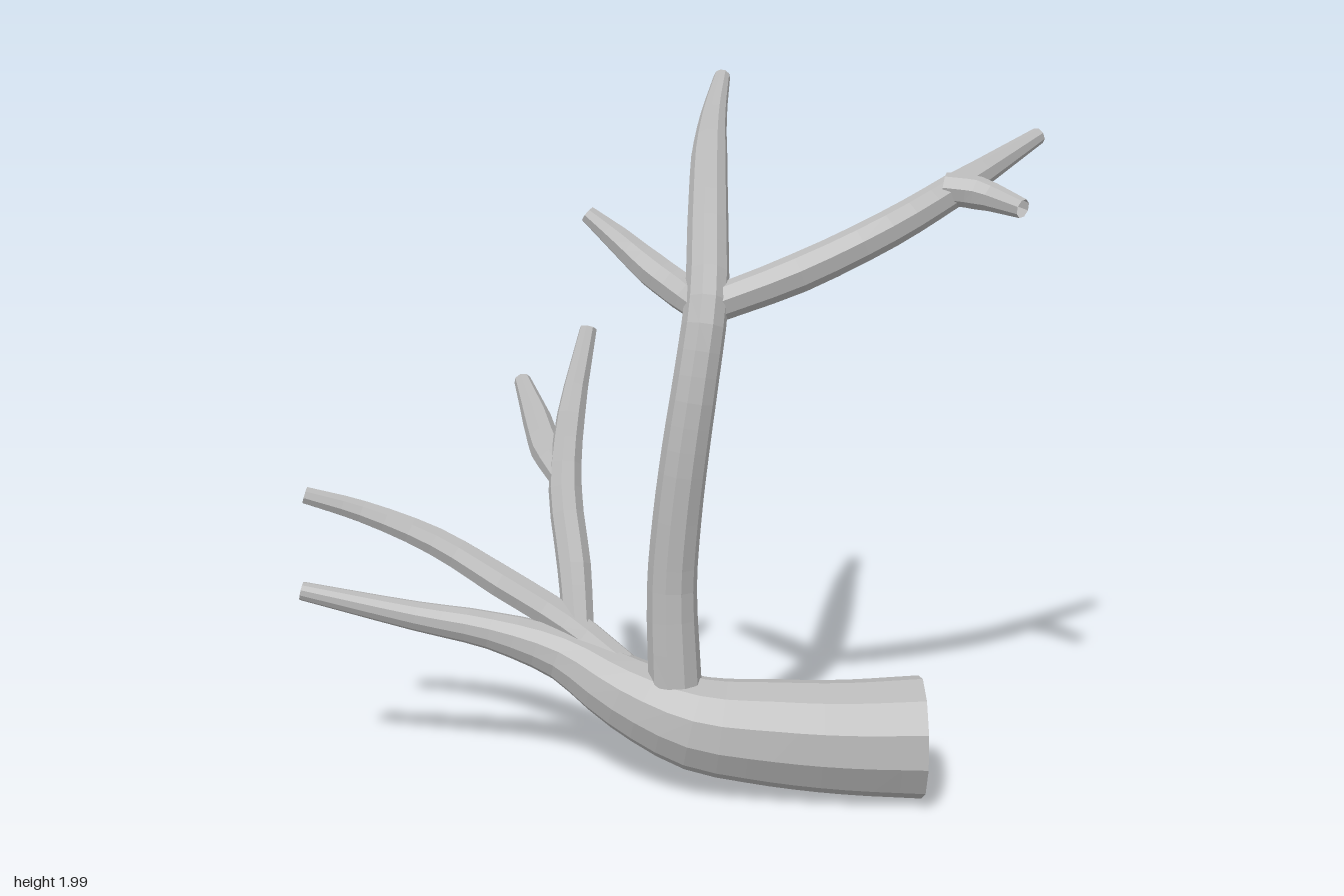
import * as THREE from 'three';

const bark = new THREE.MeshStandardMaterial({ color: 0xb8b8b8, side: THREE.DoubleSide, flatShading: true });
bark.name = 'pale grey bark';

// Open tapered tube through [x, y, z, radius] stations, with a twist-free frame.
function limb(name, stations, sides = 8, stepsPerSpan = 3) {
  const curve = new THREE.CatmullRomCurve3(stations.map(([x, y, z]) => new THREE.Vector3(x, y, z)));
  const spans = stations.length - 1;
  const rings = spans * stepsPerSpan;
  const positions = [], index = [];
  const normal = new THREE.Vector3(0.1, 0.8, 0.6);

  for (let i = 0; i <= rings; i++) {
    const t = i / rings;
    const centre = curve.getPoint(t);
    const tangent = curve.getTangent(t);
    normal.addScaledVector(tangent, -normal.dot(tangent)).normalize();
    const binormal = new THREE.Vector3().crossVectors(tangent, normal);
    const k = Math.min(Math.floor(t * spans), spans - 1);
    const radius = THREE.MathUtils.lerp(stations[k][3], stations[k + 1][3], t * spans - k);

    for (let j = 0; j < sides; j++) {
      const a = (j / sides) * Math.PI * 2;
      const p = centre.clone()
        .addScaledVector(normal, Math.cos(a) * radius)
        .addScaledVector(binormal, Math.sin(a) * radius);
      positions.push(p.x, p.y, p.z);
      if (i < rings) {
        const here = i * sides + j, next = i * sides + (j + 1) % sides;
        index.push(here, next, here + sides, next, next + sides, here + sides);
      }
    }
  }

  const geometry = new THREE.BufferGeometry();
  geometry.setAttribute('position', new THREE.Float32BufferAttribute(positions, 3));
  geometry.setIndex(index);
  geometry.computeVertexNormals();
  const mesh = new THREE.Mesh(geometry, bark);
  mesh.name = name;
  return mesh;
}

export function createModel() {
  const branch = new THREE.Group();
  branch.name = 'deadBranch';

  branch.add(
    // Thick lying trunk, tapering to a long tip
    limb('trunk', [
      [0.77, 0.178, -0.05, 0.174], [0.58, 0.178, 0.05, 0.162], [0.4, 0.188, 0.135, 0.152],
      [0.2, 0.212, 0.225, 0.135], [0, 0.28, 0.265, 0.108], [-0.2, 0.37, 0.28, 0.077],
      [-0.4, 0.43, 0.345, 0.055], [-0.6, 0.47, 0.435, 0.043], [-0.89, 0.545, 0.585, 0.027],
    ], 11),

    // Second low branch beside the trunk tip
    limb('lowBranch', [
      [-0.02, 0.35, 0.245, 0.045], [-0.2, 0.455, 0.25, 0.05], [-0.4, 0.56, 0.285, 0.05],
      [-0.6, 0.665, 0.325, 0.044], [-0.8, 0.75, 0.405, 0.034], [-0.94, 0.802, 0.49, 0.026],
    ]),

    // Tall upright, sweeping backwards at the top
    limb('mainUpright', [
      [0.145, 0.33, 0.248, 0.075], [0.13, 0.6, 0.238, 0.07], [0.145, 0.8, 0.237, 0.068],
      [0.168, 1.0, 0.23, 0.066], [0.188, 1.2, 0.205, 0.063], [0.188, 1.4, 0.145, 0.061],
      [0.12, 1.59, 0, 0.058], [0.025, 1.76, -0.2, 0.053], [-0.06, 1.87, -0.4, 0.04],
      [-0.13, 1.98, -0.6, 0.025],
    ], 10),

    // Forks near the top of the upright
    limb('upperLeftBranch', [
      [0.18, 1.38, 0.14, 0.05], [0.4, 1.475, 0.005, 0.055], [0.6, 1.59, -0.15, 0.052],
      [0.73, 1.69, -0.31, 0.047], [0.885, 1.83, -0.575, 0.024],
    ]),
    limb('upperLeftTwig', [
      [0.71, 1.695, -0.285, 0.045], [0.8, 1.685, -0.305, 0.046], [0.945, 1.652, -0.258, 0.027],
    ]),
    limb('upperRightBranch', [
      [0.19, 1.38, 0.16, 0.045], [0.1, 1.42, 0.125, 0.052], [0, 1.475, 0.112, 0.05],
      [-0.1, 1.55, 0.117, 0.039], [-0.19, 1.62, 0.133, 0.025],
    ]),

    // Smaller upright with its side twig
    limb('smallUpright', [
      [-0.165, 0.43, 0.25, 0.045], [-0.225, 0.6, 0.17, 0.05], [-0.308, 0.8, 0.075, 0.05],
      [-0.347, 1.0, -0.03, 0.043], [-0.365, 1.24, -0.17, 0.026],
    ]),
    limb('smallUprightTwig', [
      [-0.32, 0.83, 0.065, 0.04], [-0.41, 0.895, 0.005, 0.05], [-0.5, 0.965, -0.085, 0.044],
      [-0.62, 1.055, -0.2, 0.026],
    ]),
  );
  return branch;
}
